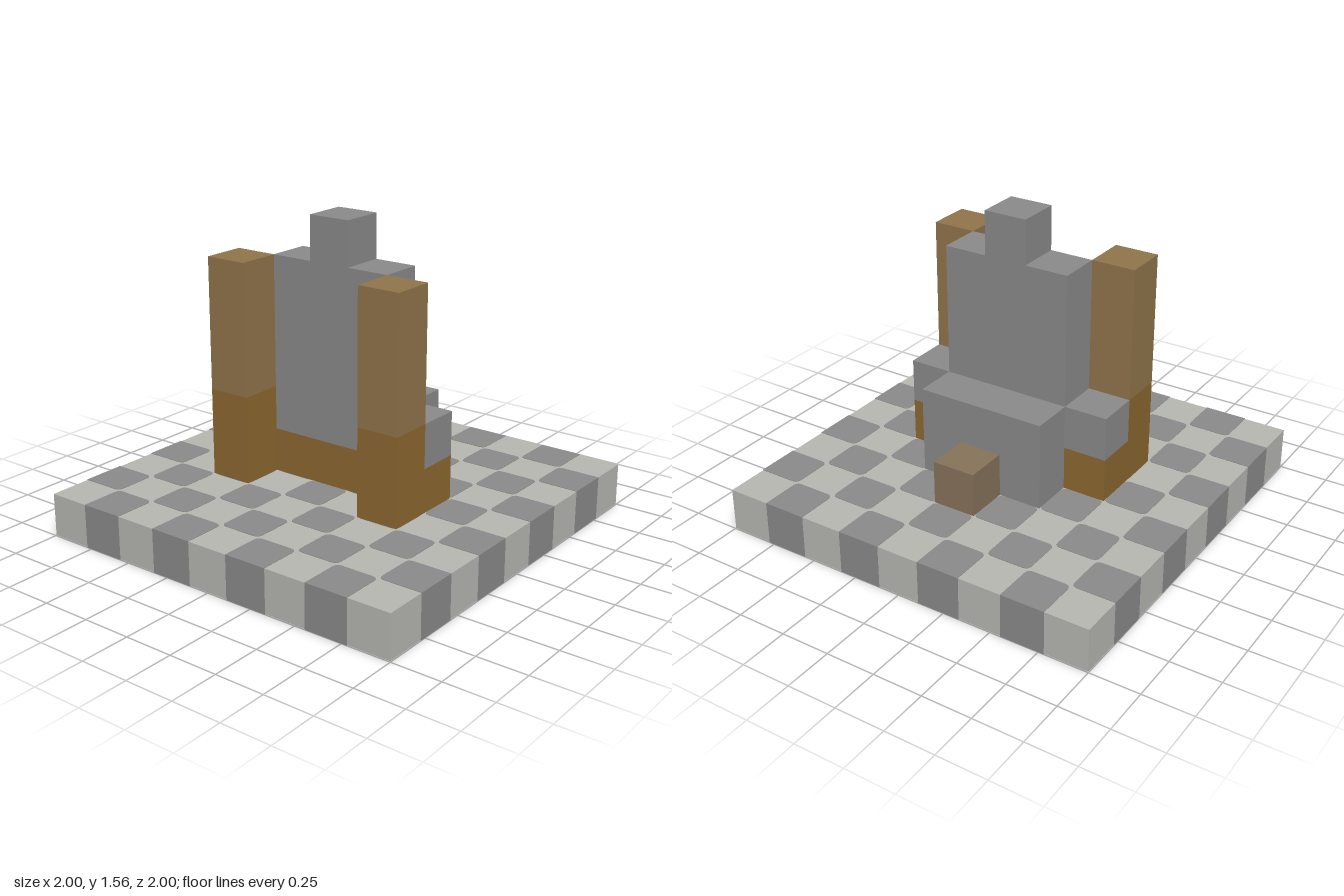
import * as THREE from 'three';
import { mergeGeometries } from 'three/addons/utils/BufferGeometryUtils.js';

const U = 2 / 9; // one block
const mat = (name, color) => {
  const m = new THREE.MeshStandardMaterial({ color });
  m.name = name;
  return m;
};

// dark floor tile: full-height prism, corners rounded except on the board's rim
function tileGeometry(col, row) {
  const x0 = (col - 4.5) * U, y0 = (row - 4.5) * U, x1 = x0 + U, y1 = y0 + U;
  const corners = [[x0, y0], [x1, y0], [x1, y1], [x0, y1]];
  const shape = new THREE.Shape();
  corners.forEach(([x, y], i) => {
    const rim = Math.max(Math.abs(x), Math.abs(y)) > 0.99;
    const r = rim ? 0 : 0.03 / U;
    const prev = corners[(i + 3) % 4], next = corners[(i + 1) % 4];
    const a = [x + (prev[0] - x) * r, y + (prev[1] - y) * r];
    const b = [x + (next[0] - x) * r, y + (next[1] - y) * r];
    if (i === 0) shape.moveTo(...a); else shape.lineTo(...a);
    if (!rim) shape.quadraticCurveTo(x, y, ...b);
  });
  shape.closePath();
  return new THREE.ExtrudeGeometry(shape, { depth: U, bevelEnabled: false, curveSegments: 3 })
    .rotateX(-Math.PI / 2);
}

export function createModel() {
  const group = new THREE.Group();
  const paleStone = mat('pale stone', 0xb9b9b4);
  const greyStone = mat('grey stone', 0x8c8c8c);
  const darkWood = mat('dark wood', 0x8e6930);
  const lightWood = mat('light wood', 0x92764b);
  const dullWood = mat('dull wood', 0x88745b);

  // box given by centre x, z, bottom y and size, all in blocks
  function block(name, material, [x, y, z], [w, h, d]) {
    const mesh = new THREE.Mesh(new THREE.BoxGeometry(w * U, h * U, d * U), material);
    mesh.position.set(x * U, (y + h / 2) * U, z * U);
    mesh.name = name;
    group.add(mesh);
  }

  // checkered floor
  block('floorSlab', paleStone, [0, 0.01, 0], [8.98, 0.98, 8.98]);
  const tiles = [];
  for (let row = 0; row < 9; row++)
    for (let col = 0; col < 9; col++)
      if ((row + col) % 2) tiles.push(tileGeometry(col, row));
  const floorTiles = new THREE.Mesh(mergeGeometries(tiles), greyStone);
  floorTiles.name = 'floorTiles';
  group.add(floorTiles);

  // front posts
  for (const [side, x] of [['left', 2], ['right', -2]]) {
    block(side + 'PostBase', darkWood, [x, 1, 1], [1, 2, 1]);
    block(side + 'PostTop', lightWood, [x, 3, 1], [1, 3, 1]);
  }

  // stepped wall
  block('wallFooting', darkWood, [0, 1, 0], [5, 1, 1]);
  block('wallShoulders', greyStone, [0, 2, 0], [5, 1, 1]);
  block('wall', greyStone, [0, 3, 0], [3, 3, 1]);
  block('wallCrown', greyStone, [0, 6, 0], [1, 1, 1]);

  // steps at the back
  block('backBench', greyStone, [0, 1, -1], [3, 2, 1]);
  block('backStep', dullWood, [0, 1, -2], [1, 1, 1]);

  return group;
}
